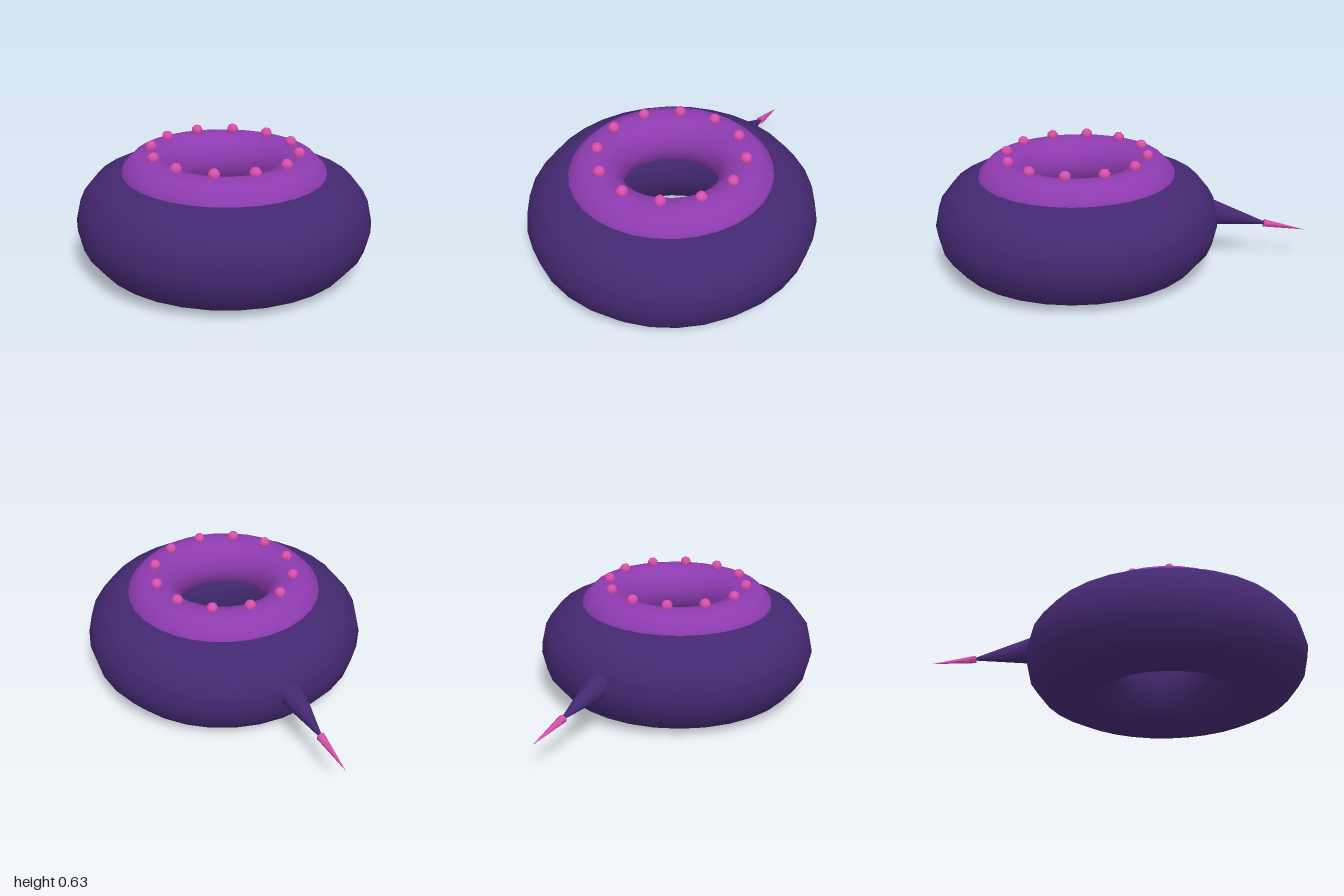
import * as THREE from 'three';

function paint(name, color) {
  const m = new THREE.MeshStandardMaterial({ color });
  m.name = name;
  return m;
}

export function createModel() {
  const model = new THREE.Group();
  model.name = 'tailedRing';
  const dark = paint('dark violet', 0x432870);
  const purple = paint('purple', 0x8e3bb0);
  const pink = paint('pink', 0xd94fae);

  const add = (name, geometry, material, parent = model) => {
    const mesh = new THREE.Mesh(geometry, material);
    mesh.name = name;
    parent.add(mesh);
    return mesh;
  };

  // Everything but the tail shares one vertical axis
  const ring = new THREE.Group();
  ring.name = 'ring';
  ring.position.z = 0.24;
  model.add(ring);

  // Body and the icing-like collar on top
  const body = add('body', new THREE.TorusGeometry(0.502, 0.255, 14, 32), dark, ring);
  body.rotation.x = -Math.PI / 2;
  body.position.y = 0.249;
  const collar = add('collar', new THREE.TorusGeometry(0.39, 0.146, 12, 32), purple, ring);
  collar.rotation.x = -Math.PI / 2;
  collar.position.y = 0.447;

  // Circle of beads on the collar
  const beadGeometry = new THREE.SphereGeometry(0.031, 8, 5);
  for (let i = 0; i < 12; i++) {
    const a = 0.1 + (i / 12) * Math.PI * 2;
    const bead = add('bead', beadGeometry, pink, ring);
    bead.position.set(Math.cos(a) * 0.377, 0.602, Math.sin(a) * 0.377);
  }

  // Cone from the centre of its base to its tip
  const spike = (name, base, tip, radius, sides, material) => {
    const axis = tip.clone().sub(base);
    const mesh = add(name, new THREE.ConeGeometry(radius, axis.length(), sides), material);
    mesh.position.copy(base).addScaledVector(axis, 0.5);
    mesh.quaternion.setFromUnitVectors(new THREE.Vector3(0, 1, 0), axis.normalize());
  };

  // Tail with a sharp coloured tip
  spike('tail', new THREE.Vector3(0, 0.277, -0.46), new THREE.Vector3(0, 0.2, -0.81), 0.076, 10, dark);
  spike('tailTip', new THREE.Vector3(0, 0.207, -0.772), new THREE.Vector3(0, 0.168, -0.997), 0.022, 6, pink);

  return model;
}
